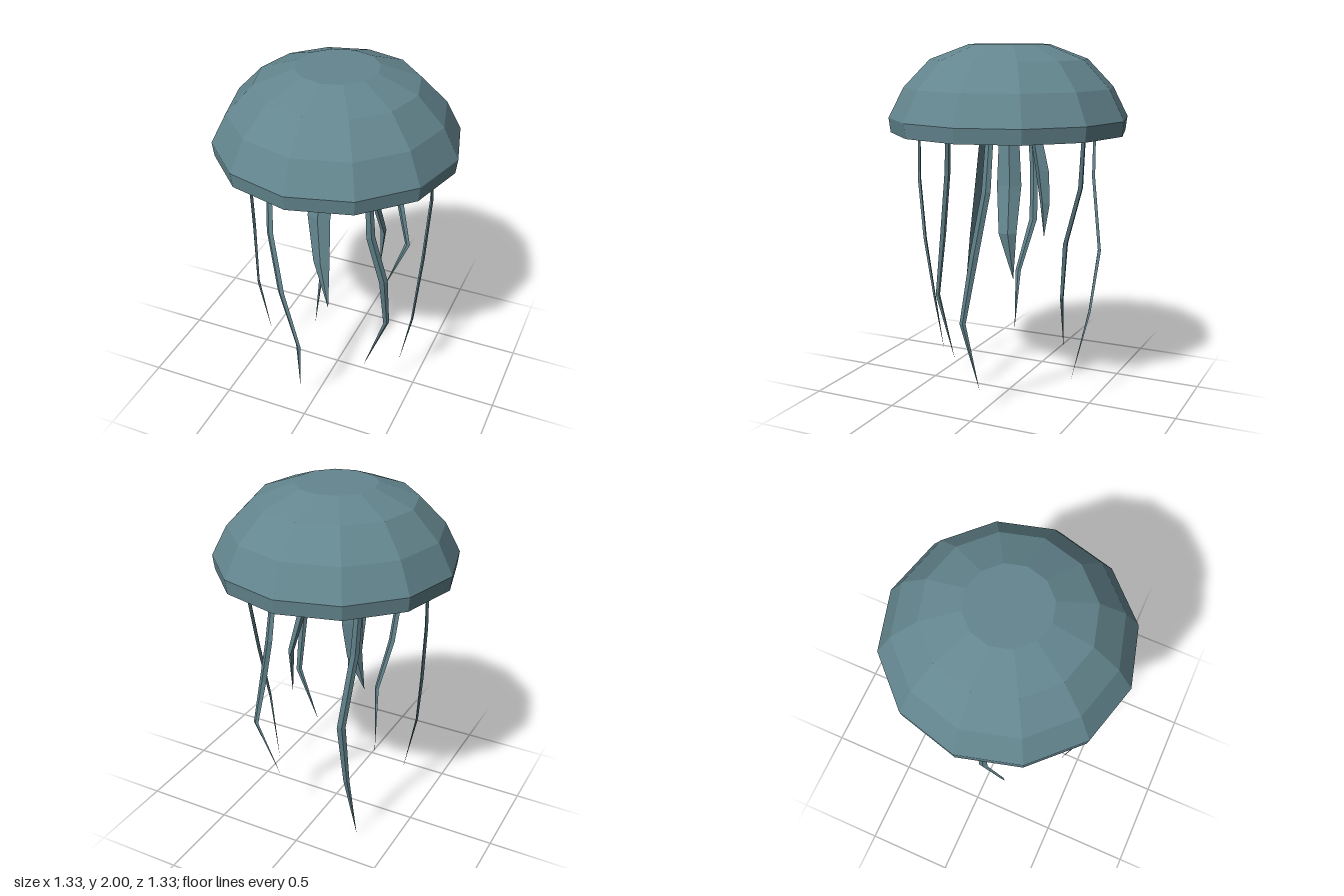
import * as THREE from 'three';

const skin = new THREE.MeshStandardMaterial({ color: 0x64868f, flatShading: true });
skin.name = 'sea teal';

// Tapering ribbon with a diamond cross-section, wide around the bell and thin towards its axis.
// Each path entry is [x, y, z, halfWidth], from top to tip.
function ribbon(path, name, thinness) {
  const [x0, , z0] = path[0];
  const r = Math.hypot(x0, z0);
  const out = new THREE.Vector3(x0 / r, 0, z0 / r);
  const side = new THREE.Vector3(-out.z, 0, out.x);
  const rings = path.map(([x, y, z, w]) => [0, 1, 2, 3].map((k) => {
    const a = k * Math.PI / 2;
    return new THREE.Vector3(x, y, z)
      .addScaledVector(side, w * Math.cos(a))
      .addScaledVector(out, w * thinness * Math.sin(a));
  }));
  const points = [];
  for (let i = 0; i < rings.length - 1; i++) {
    for (let k = 0; k < 4; k++) {
      const n = (k + 1) % 4;
      const a = rings[i][k], b = rings[i][n], c = rings[i + 1][k], d = rings[i + 1][n];
      points.push(a, c, d, a, d, b);
    }
  }
  const geometry = new THREE.BufferGeometry().setFromPoints(points);
  geometry.computeVertexNormals();
  const mesh = new THREE.Mesh(geometry, skin);
  mesh.name = name;
  return mesh;
}

export function createModel() {
  const model = new THREE.Group();
  model.name = 'jellyfish';

  // Bell: hollow underside, flat lip, then the faceted dome
  const profile = [
    [0, 1.69], [0.2, 1.68], [0.4, 1.62], [0.52, 1.535], [0.655, 1.525],
    [0.665, 1.605], [0.58, 1.77], [0.435, 1.92], [0.222, 2], [0, 2],
  ].map(([r, y]) => new THREE.Vector2(r, y));
  const bell = new THREE.Mesh(new THREE.LatheGeometry(profile, 12), skin);
  bell.name = 'bell';
  model.add(bell);

  // Six long tentacles round the rim
  const tentacleWidths = [0.02, 0.024, 0.024, 0.017, 0];
  const tentacles = [
    [[0.495, 1.56, -0.12], [0.51, 1.27, -0.105], [0.505, 0.92, -0.03], [0.487, 0.54, 0.05], [0.4, 0.14, -0.005]],
    [[0.33, 1.56, 0.385], [0.345, 1.28, 0.38], [0.4, 0.97, 0.32], [0.405, 0.65, 0.265], [0.28, 0.3, 0.28]],
    [[-0.17, 1.56, 0.48], [-0.172, 1.24, 0.49], [-0.12, 0.87, 0.497], [-0.03, 0.51, 0.49], [-0.068, 0.1, 0.4]],
    [[-0.497, 1.56, 0.09], [-0.51, 1.25, 0.07], [-0.5, 0.93, 0.067], [-0.45, 0.6, 0.147], [-0.38, 0.24, 0.14]],
    [[-0.33, 1.56, -0.385], [-0.31, 1.25, -0.39], [-0.265, 0.83, -0.45], [-0.27, 0.45, -0.395], [-0.28, 0, -0.28]],
    [[0.105, 1.56, -0.48], [0.145, 1.26, -0.48], [0.225, 0.97, -0.43], [0.28, 0.69, -0.435], [0.155, 0.36, -0.4]],
  ];
  for (const path of tentacles) {
    model.add(ribbon(path.map((p, i) => [...p, tentacleWidths[i]]), 'tentacle', 0.38));
  }

  // Three broad mouth arms under the middle
  const armWidths = [0.045, 0.055, 0.066, 0.048, 0];
  const arms = [
    [[0.005, 1.72, 0.14], [0.005, 1.5, 0.155], [-0.025, 1.2, 0.2], [0, 0.92, 0.23], [0.05, 0.63, 0.255]],
    [[0.12, 1.72, -0.06], [0.145, 1.5, -0.065], [0.175, 1.25, -0.08], [0.24, 1, -0.1], [0.22, 0.74, -0.125]],
    [[-0.13, 1.72, -0.08], [-0.15, 1.5, -0.095], [-0.165, 1.29, -0.13], [-0.185, 1.1, -0.14], [-0.235, 0.88, -0.115]],
  ];
  for (const path of arms) {
    model.add(ribbon(path.map((p, i) => [...p, armWidths[i]]), 'mouthArm', 0.35));
  }

  return model;
}
